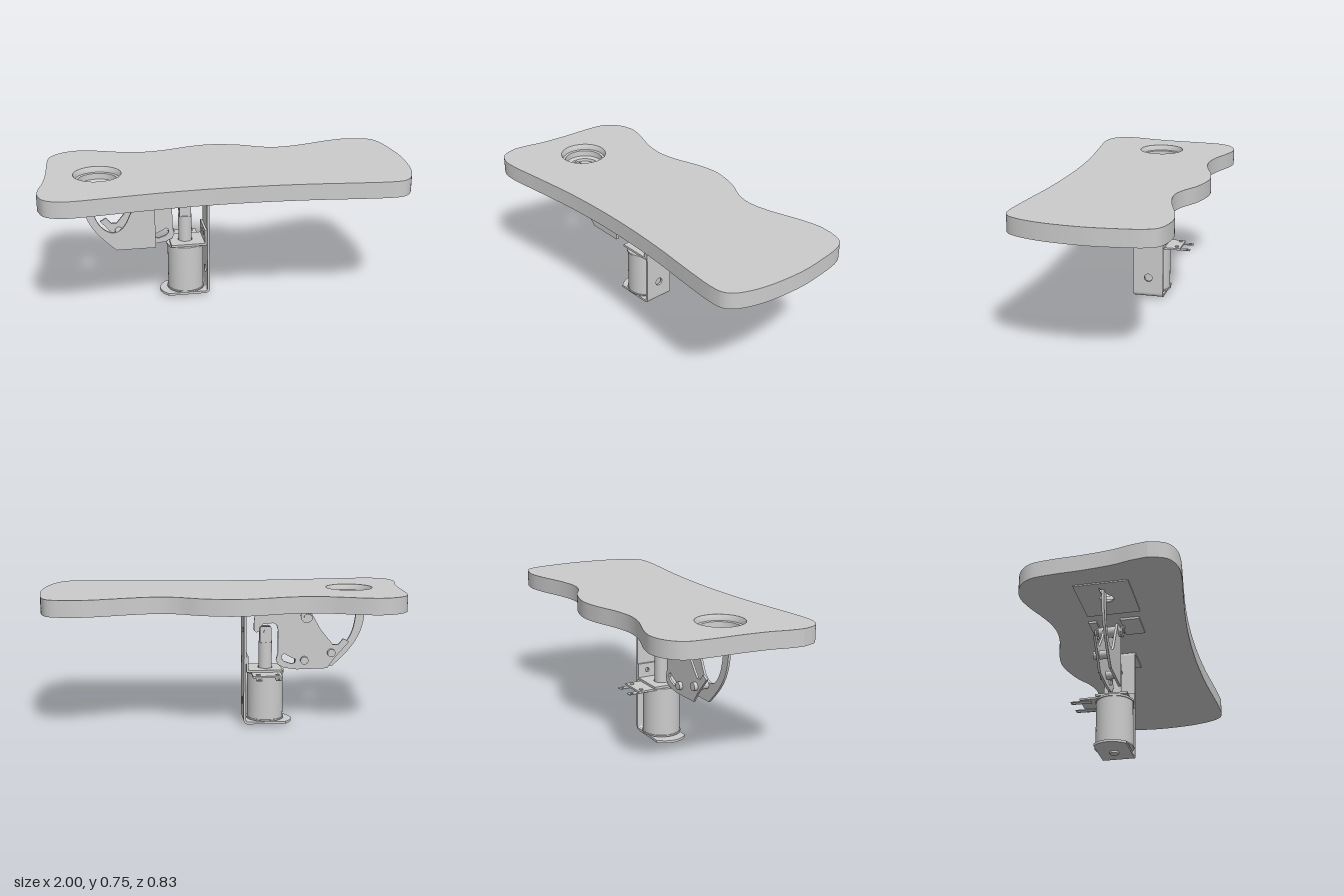
import * as THREE from 'three';
import { toCreasedNormals } from 'three/addons/utils/BufferGeometryUtils.js';

const mat = new THREE.MeshStandardMaterial({ color: 0xcccccc });
const thinMat = new THREE.MeshStandardMaterial({ color: 0xcccccc, side: THREE.DoubleSide });

const polygon = (pts) => new THREE.Shape(pts.map(([x, y]) => new THREE.Vector2(x, y)));
const rect = (x0, y0, x1, y1) => polygon([[x0, y0], [x1, y0], [x1, y1], [x0, y1]]);
const circle = (x, y, r) => new THREE.Path().absarc(x, y, r, 0, Math.PI * 2);

// Vertical slot (stadium) as a hole path
function slot(x, y, r, half) {
  const p = new THREE.Path();
  p.absarc(x, y + half, r, 0, Math.PI);
  p.absarc(x, y - half, r, Math.PI, Math.PI * 2);
  p.closePath();
  return p;
}

export function createModel() {
  const model = new THREE.Group();

  function add(name, geometry, material = mat) {
    const mesh = new THREE.Mesh(geometry, material);
    mesh.name = name;
    model.add(mesh);
    return mesh;
  }
  const extrude = (shape, depth, seg = 12) =>
    toCreasedNormals(new THREE.ExtrudeGeometry(shape, { depth, bevelEnabled: false, curveSegments: seg }), 0.6);
  // Plate facing z, shape in (x, y)
  const plateXY = (name, shape, z0, z1) => add(name, extrude(shape, z1 - z0).translate(0, 0, z0));
  // Flat plate, shape in (x, z)
  const plateXZ = (name, shape, y0, y1) => add(name, extrude(shape, y1 - y0).rotateX(Math.PI / 2).translate(0, y1, 0));
  // Plate facing x, shape in (-z, y)
  const plateZY = (name, shape, x0, x1) => add(name, extrude(shape, x1 - x0).rotateY(Math.PI / 2).translate(x0, 0, 0));
  const pinY = (name, x, z, r, y0, y1, seg = 40) =>
    add(name, new THREE.CylinderGeometry(r, r, y1 - y0, seg).translate(x, (y0 + y1) / 2, z));
  const pinZ = (name, x, y, r, z0, z1) =>
    add(name, new THREE.CylinderGeometry(r, r, z1 - z0, 24).rotateX(Math.PI / 2).translate(x, y, (z0 + z1) / 2));

  // Wavy board with a round opening
  const hx = -0.685, hz = 0.01;
  const outline = [
    [-1, 0.28], [-0.97, 0.365], [-0.9, 0.405], [-0.8, 0.41], [-0.6, 0.388], [-0.35, 0.362], [-0.1, 0.35],
    [0.15, 0.352], [0.4, 0.367], [0.65, 0.393], [0.82, 0.405], [0.9, 0.385], [0.95, 0.31], [0.985, 0.18],
    [1, 0], [0.99, -0.15], [0.967, -0.29], [0.92, -0.36], [0.8, -0.387], [0.68, -0.37], [0.5, -0.315],
    [0.37, -0.295], [0.27, -0.315], [0.15, -0.375], [0, -0.41], [-0.13, -0.395], [-0.28, -0.35],
    [-0.4, -0.333], [-0.52, -0.35], [-0.68, -0.405], [-0.78, -0.42], [-0.87, -0.39], [-0.93, -0.32],
    [-0.947, -0.2], [-0.953, -0.05], [-0.968, 0.1], [-0.99, 0.2],
  ].map(([x, z]) => new THREE.Vector2(x, z));
  const board = new THREE.Shape();
  board.moveTo(outline[0].x, outline[0].y);
  board.splineThru([...outline.slice(1), outline[0]]);
  board.holes.push(circle(hx, hz, 0.128));
  plateXZ('board', board, 0.657, 0.745);

  // Stepped cup lining the opening
  const cup = [[0.128, 0.745], [0.12, 0.73], [0.118, 0.715], [0.106, 0.712], [0.104, 0.68], [0.083, 0.672], [0.08, 0.655]];
  add('cupLining', toCreasedNormals(new THREE.LatheGeometry(cup.map(([r, y]) => new THREE.Vector2(r, y)), 64), 0.5)
    .translate(hx, 0, hz), thinMat);

  // Square plate under the cup with a keyhole for the arm
  const cupPlate = rect(-0.83, -0.13, -0.53, 0.15);
  const keyhole = new THREE.Path();
  keyhole.moveTo(-0.795, hz + 0.018);
  keyhole.absarc(hx, hz, 0.035, Math.PI - 0.54, -(Math.PI - 0.54), true);
  keyhole.lineTo(-0.795, hz - 0.018);
  keyhole.closePath();
  cupPlate.holes.push(keyhole);
  plateXZ('cupPlate', cupPlate, 0.65, 0.657);

  // Upright coil bracket: drilled wall, two bends, two flanges
  const cx = -0.213, cz = -0.054, z0 = -0.14, z1 = 0.033;
  const wall = rect(-z1, 0.035, -z0, 0.632);
  wall.holes.push(circle(-cz, 0.527, 0.017), circle(-cz, 0.125, 0.023),
    slot(0.022, 0.352, 0.014, 0.01), slot(0.087, 0.352, 0.014, 0.01));
  plateZY('bracketWall', wall, -0.101, -0.088);
  const bend = (x, y, a) => {
    const s = new THREE.Shape();
    s.absarc(x, y, 0.025, a, a + Math.PI / 2, false);
    s.absarc(x, y, 0.012, a + Math.PI / 2, a, true);
    plateXY('bracketBend', s, z0, z1);
  };
  bend(-0.113, 0.035, -Math.PI / 2);
  bend(-0.076, 0.632, Math.PI / 2);
  const topFlange = rect(-0.076, z0, 0.08, z1);
  for (const x of [-0.03, 0.04]) for (const z of [-0.1, -0.008]) topFlange.holes.push(circle(x, z, 0.012));
  plateXZ('bracketTopFlange', topFlange, 0.644, 0.657);
  const foot = new THREE.Shape();
  foot.moveTo(-0.113, z0);
  foot.lineTo(-0.32, z0);
  foot.quadraticCurveTo(-0.40, cz, -0.32, z1);
  foot.lineTo(-0.113, z1);
  plateXZ('bracketBottomFlange', foot, 0.01, 0.023);

  // Coil with end washers, stop and terminals
  pinY('coilStop', cx, cz, 0.024, 0, 0.012);
  pinY('coilBase', cx, cz, 0.055, 0.02, 0.032);
  pinY('coilWinding', cx, cz, 0.099, 0.036, 0.292, 64);
  pinY('coilBottomWasher', cx, cz, 0.104, 0.03, 0.038, 64);
  pinY('coilTopWasher', cx, cz, 0.104, 0.289, 0.3, 64);
  plateXZ('terminalTab', rect(-0.29, -0.228, -0.13, -0.1), 0.291, 0.301);
  for (const x of [-0.265, -0.16]) {
    const lug = rect(x - 0.016, -0.28, x + 0.016, -0.17);
    lug.holes.push(circle(x, -0.262, 0.008));
    plateXZ('terminalLug', lug, 0.286, 0.29);
    pinY('terminalRivet', x, -0.205, 0.011, 0.286, 0.306, 16);
  }

  // Angle piece holding the coil down
  const retainer = rect(-0.3, z0, -0.103, z1);
  retainer.holes.push(circle(cx, cz, 0.04));
  plateXZ('retainerPlate', retainer, 0.302, 0.314);
  const tab = rect(-z1, 0.302, -z0, 0.39);
  tab.holes.push(circle(0.022, 0.352, 0.012), circle(0.087, 0.352, 0.012));
  plateZY('retainerTab', tab, -0.114, -0.102);

  // Plunger with a forked end
  pinY('plunger', cx, cz, 0.037, 0.25, 0.46);
  for (const s of [-1, 1]) {
    const cheek = new THREE.Shape();
    cheek.moveTo(cx - 0.032, 0.455);
    cheek.lineTo(cx + 0.032, 0.455);
    cheek.lineTo(cx + 0.032, 0.53);
    cheek.quadraticCurveTo(cx + 0.032, 0.545, cx + 0.018, 0.545);
    cheek.lineTo(cx - 0.018, 0.545);
    cheek.quadraticCurveTo(cx - 0.032, 0.545, cx - 0.032, 0.53);
    plateXY('plungerFork', cheek, cz + s * 0.018 - 0.01, cz + s * 0.018 + 0.01);
  }
  pinZ('plungerPin', cx, 0.515, 0.012, cz - 0.034, cz + 0.034);

  // Curved kicker arm
  const arm = new THREE.Shape();
  arm.moveTo(-0.775, 0.665);
  arm.bezierCurveTo(-0.785, 0.5, -0.73, 0.42, -0.6, 0.302);
  arm.lineTo(-0.385, 0.302);
  arm.lineTo(-0.385, 0.64);
  arm.lineTo(-0.45, 0.64);
  arm.quadraticCurveTo(-0.465, 0.635, -0.475, 0.6);
  arm.lineTo(-0.535, 0.47);
  arm.quadraticCurveTo(-0.565, 0.405, -0.615, 0.405);
  arm.bezierCurveTo(-0.67, 0.41, -0.735, 0.48, -0.727, 0.665);
  plateXY('kickerArm', arm, 0.004, 0.017);

  // Crank plate from the pivot to the plunger
  const crank = polygon([
    [-0.68, 0.45], [-0.6, 0.36], [-0.56, 0.302], [-0.39, 0.298], [-0.32, 0.308], [-0.285, 0.325], [-0.273, 0.355],
    [-0.283, 0.39], [-0.283, 0.52], [-0.275, 0.55], [-0.255, 0.56], [-0.2, 0.555], [-0.187, 0.54], [-0.184, 0.52],
    [-0.165, 0.508], [-0.15, 0.52], [-0.15, 0.57], [-0.156, 0.61], [-0.165, 0.632], [-0.185, 0.641], [-0.45, 0.641],
    [-0.475, 0.6], [-0.52, 0.52], [-0.59, 0.435], [-0.62, 0.435], [-0.647, 0.468],
  ]);
  crank.holes.push(polygon([
    [-0.382, 0.355], [-0.378, 0.335], [-0.36, 0.33], [-0.318, 0.345], [-0.305, 0.36], [-0.306, 0.38], [-0.32, 0.388], [-0.335, 0.378]]));
  plateXY('crank', crank, cz - 0.006, cz + 0.006);
  for (const [x, y] of [[-0.43, 0.35], [-0.58, 0.39]]) pinZ('spacer', x, y, 0.022, cz - 0.025, 0.006);

  // Pivot bracket with one ear on each side
  pinZ('pivotPin', -0.435, 0.6, 0.016, -0.115, 0.047);
  pinZ('pivotSleeve', -0.435, 0.6, 0.028, -0.09, 0.028);
  for (const [a, b, f0, f1] of [[0.03, 0.042, 0.03, 0.132], [-0.108, -0.096, -0.14, -0.096]]) {
    const ear = new THREE.Shape();
    ear.moveTo(-0.468, 0.65);
    ear.absarc(-0.435, 0.6, 0.033, Math.PI, Math.PI * 2);
    ear.lineTo(-0.402, 0.65);
    plateXY('pivotEar', ear, a, b);
    plateXZ('pivotFoot', rect(-0.47, f0, -0.31, f1), 0.645, 0.657);
  }
  return model;
}
